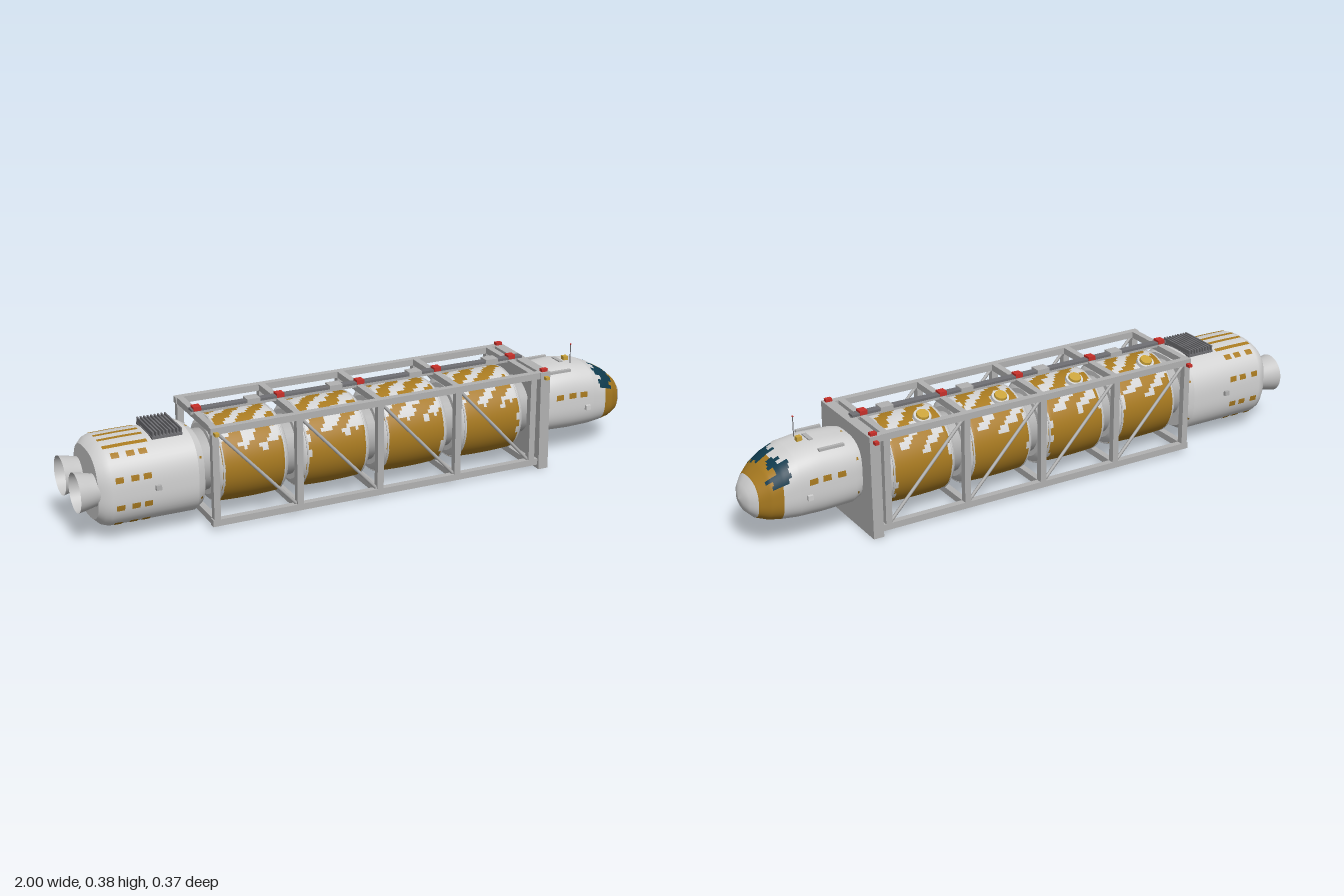
import * as THREE from 'three';

const mat = (name, color) => Object.assign(new THREE.MeshStandardMaterial({ color }), { name });
const M = {
  white: mat('hullWhite', 0xd2d2d2),
  grey: mat('frameGrey', 0xb2b2b2),
  dark: mat('darkGrey', 0x707074),
  gold: mat('gold', 0xa87a20),
  navy: mat('windowNavy', 0x0f3b4e),
  red: mat('signalRed', 0xc8302a),
  yellow: mat('lampYellow', 0xc9a23a),
};
M.nozzle = mat('nozzleWhite', 0xc4c4c4);
M.nozzle.side = THREE.DoubleSide;

const hash = (a, b) => { const v = Math.sin(a * 127.1 + b * 311.7) * 43758.5453; return v - Math.floor(v); };

// Section along x: [x, centreY, radiusY, radiusZ, squareness]
const sectionAt = (st, x) => {
  let i = 0;
  while (i < st.length - 2 && x > st[i + 1][0]) i++;
  const f = (x - st[i][0]) / (st[i + 1][0] - st[i][0] || 1);
  return st[i].map((v, k) => v + (st[i + 1][k] - v) * f);
};

// Skin through sections; t is the angle from the top towards +z; rule picks the colour of each cell
function loft(name, st, { n = 64, t0 = 0, t1 = Math.PI * 2, grow = 0, colours = [M.white], rule = () => 0 } = {}) {
  const closed = t1 - t0 > 6.28, cols = closed ? n : n + 1;
  const pos = [], faces = colours.map(() => []);
  for (const [x, cy, ry, rz, e] of st) {
    for (let j = 0; j < cols; j++) {
      const t = t0 + (t1 - t0) * j / n, c = Math.cos(t), s = Math.sin(t);
      const r = (Math.abs(c) ** e + Math.abs(s) ** e) ** (-1 / e);
      pos.push(x, cy + (ry + grow) * r * c, (rz + grow) * r * s);
    }
  }
  for (let i = 0; i < st.length - 1; i++) {
    for (let j = 0; j < n; j++) {
      const k = closed ? (j + 1) % n : j + 1;
      const a = i * cols + j, b = i * cols + k, c = a + cols, d = b + cols;
      const t = t0 + (t1 - t0) * (j + 0.5) / n;
      faces[rule((st[i][0] + st[i + 1][0]) / 2, t, i, j)].push(a, b, c, b, d, c);
    }
  }
  const g = new THREE.BufferGeometry();
  g.setAttribute('position', new THREE.Float32BufferAttribute(pos, 3));
  g.setIndex(faces.flat());
  let start = 0;
  faces.forEach((f, i) => { g.addGroup(start, f.length, i); start += f.length; });
  g.computeVertexNormals();
  const m = new THREE.Mesh(g, colours);
  m.name = name;
  return m;
}

const range = (a, b, n) => Array.from({ length: n + 1 }, (_, i) => a + (b - a) * i / n);

export function createModel() {
  const root = new THREE.Group();
  root.name = 'cargoSpaceship';
  const group = (name) => { const g = new THREE.Group(); g.name = name; root.add(g); return g; };
  const add = (parent, name, geo, m, x, y, z) => {
    const mesh = new THREE.Mesh(geo, m);
    mesh.name = name;
    mesh.position.set(x, y, z);
    parent.add(mesh);
    return mesh;
  };
  const box = (p, name, m, x, y, z, w, h, d) => add(p, name, new THREE.BoxGeometry(w, h, d), m, x, y, z);
  const strut = (p, name, m, a, b, r) => {
    const A = new THREE.Vector3(...a), d = new THREE.Vector3(...b).sub(A);
    const s = add(p, name, new THREE.CylinderGeometry(r, r, d.length(), 8), m, 0, 0, 0);
    s.position.copy(A).addScaledVector(d, 0.5);
    s.quaternion.setFromUnitVectors(new THREE.Vector3(0, 1, 0), d.normalize());
  };
  // Thin painted plate following a hull
  const patch = (p, name, st, x0, x1, t0, t1, m = M.gold) =>
    p.add(loft(name, range(x0, x1, 2).map(x => sectionAt(st, x)), { n: 6, t0, t1, grow: 0.002, colours: [m] }));

  // Command capsule: x, bottom, top, half width, squareness
  const capsule = group('commandCapsule');
  const nose = [
    [0.62, 0.1, 0.302, 0.108, 2.9], [0.655, 0.084, 0.31, 0.117, 2.9], [0.76, 0.08, 0.315, 0.119, 2.9],
    [0.84, 0.082, 0.305, 0.117, 2.9], [0.89, 0.086, 0.285, 0.11, 2.8], [0.93, 0.092, 0.262, 0.098, 2.7],
    [0.965, 0.103, 0.232, 0.076, 2.5], [0.985, 0.122, 0.207, 0.053, 2.4], [0.995, 0.142, 0.188, 0.028, 2.2],
    [1, 0.165, 0.165, 0, 2],
  ].map(([x, lo, hi, w, e]) => [x, (lo + hi) / 2, (hi - lo) / 2, w, e]);
  const noseX = [0.62, 0.655, 0.7, 0.76, 0.8, ...range(0.84, 0.965, 25), 0.975, 0.985, 0.99, 0.995, 1];
  capsule.add(loft('capsuleHull', noseX.map(x => sectionAt(nose, x)), {
    n: 96, colours: [M.white, M.gold, M.navy],
    rule: (x, t, i, j) => {
      const side = Math.min(t, Math.PI * 2 - t), jag = hash(Math.floor(j / 2), 3);
      if (x > 0.965) return 0;
      const glass = side < 1.15 && side > 0.1;
      if (glass && x > 0.855 + 0.035 * jag && x < 0.905 + 0.035 * hash(Math.floor(j / 2), 8)) return 2;
      return x > (glass ? 0.9 : 0.893) ? 1 : 0;
    },
  }));
  patch(capsule, 'capsuleRing', nose, 0.642, 0.649, 0, Math.PI * 2);
  for (const s of [1, -1]) {
    for (const x of [0.69, 0.74, 0.785]) {
      const t = s * 1.36;
      patch(capsule, 'sideWindow', nose, x, x + 0.028, t - 0.08, t + 0.08);
    }
    box(capsule, 'sideThruster', M.white, 0.815, 0.172, s * 0.121, 0.018, 0.016, 0.014);
    box(capsule, 'roofRail', M.grey, 0.72, 0.303, s * 0.082, 0.085, 0.008, 0.012);
  }
  box(capsule, 'roofHatch', M.grey, 0.76, 0.315, 0, 0.014, 0.006, 0.05);
  box(capsule, 'roofLamp', M.yellow, 0.79, 0.317, 0, 0.018, 0.016, 0.018);
  strut(capsule, 'antenna', M.dark, [0.79, 0.3, 0.035], [0.79, 0.38, 0.035], 0.0016);
  add(capsule, 'antennaTip', new THREE.SphereGeometry(0.003, 8, 6), M.red, 0.79, 0.378, 0.035);

  // Bulkhead plate, slightly narrower at the top
  const plate = new THREE.BoxGeometry(0.036, 0.345, 0.346);
  const pp = plate.attributes.position;
  for (let i = 0; i < pp.count; i++) if (pp.getY(i) > 0) pp.setZ(i, pp.getZ(i) * 0.966);
  add(root, 'bulkhead', plate, M.grey, 0.612, 0.1725, 0);

  // Open truss
  const truss = group('truss');
  const stations = [-0.57, -0.285, 0, 0.285, 0.57], B = 0.022, Z = 0.153, lowY = 0.025, highY = 0.334;
  for (const z of [-Z, Z]) {
    for (const y of [lowY, highY]) box(truss, 'longRail', M.grey, 0.005, y, z, 1.18, B, B);
    for (const x of stations) box(truss, 'post', M.grey, x, 0.18, z, B, 0.31, B);
    for (let i = 0; i < 4; i++) {
      strut(truss, 'diagonalBrace', M.grey, [stations[i], highY, z], [stations[i + 1], lowY, z], 0.0055);
    }
  }
  for (const x of stations) {
    for (const y of [lowY, highY]) box(truss, 'crossBeam', M.grey, x, y, 0, B, B, 2 * Z);
    box(truss, 'railClamp', M.red, x, 0.357, 0, 0.026, 0.014, 0.028);
  }
  box(truss, 'spineWeb', M.grey, 0.01, 0.344, 0, 1.2, 0.012, 0.012);
  box(truss, 'spineRail', M.dark, 0.01, 0.353, 0, 1.2, 0.008, 0.026);
  for (const x of [-0.38, -0.09, 0.2, 0.49]) box(truss, 'spineBox', M.grey, x, 0.357, 0, 0.045, 0.012, 0.038);

  // Marker lights
  for (const s of [1, -1]) {
    box(truss, 'topLight', M.red, 0.612, 0.349, s * 0.153, 0.022, 0.012, 0.016);
    for (const x of [-0.57, 0.612]) {
      box(truss, 'sideLight', s > 0 ? M.yellow : M.red, x, 0.327, s * 0.174, 0.014, 0.01, 0.018);
    }
  }

  // Painted cargo tanks
  const R = 0.145, tankY = 0.182;
  const profile = [[-0.125, 0], [-0.125, 0.116], [-0.125, 0.116], [-0.118, 0.13], [-0.108, 0.138],
    ...range(-0.1, 0.1, 20).map(x => [x, R - 0.3 * x * x]),
    [0.108, 0.138], [0.118, 0.13], [0.125, 0.116], [0.125, 0.116], [0.125, 0]];
  [-0.43, -0.143, 0.143, 0.43].forEach((cx, k) => {
    const g = group('cargoTank');
    const tank = loft('tankShell', profile.map(([x, r]) => [x, tankY, r, r, 2]), {
      n: 72, colours: [M.white, M.gold],
      rule: (x, t, i, j) => {
        const a = t > Math.PI ? t - 2 * Math.PI : t, ci = Math.floor(i / 2), cj = Math.floor(j / 2);
        if (Math.abs(x) > 0.094 + 0.016 * hash(cj + k * 9, x > 0 ? 1 : 2)) return 0;
        const s = (x + R * a + 0.02 * hash(ci + k * 5, cj)) / 0.1;
        return Math.abs(a) < 1.0 + 0.25 * hash(cj, ci + 7) && s - Math.floor(s) < 0.42 ? 0 : 1;
      },
    });
    tank.position.x = cx;
    g.add(tank);
    for (const e of [-1, 1]) {
      const band = add(g, 'tankBand', new THREE.TorusGeometry(0.1405, 0.003, 6, 48), M.white, cx + e * 0.104, tankY, 0);
      band.rotation.y = Math.PI / 2;
    }
    // Filler hatch
    const hatch = new THREE.Group();
    hatch.name = 'fillerHatch';
    hatch.position.set(cx - 0.042, tankY, 0);
    hatch.rotation.x = -0.4;
    add(hatch, 'hatchCollar', new THREE.CylinderGeometry(0.029, 0.032, 0.02, 24), M.white, 0, 0.145, 0);
    add(hatch, 'hatchLid', new THREE.CylinderGeometry(0.02, 0.022, 0.01, 24), M.yellow, 0, 0.158, 0);
    g.add(hatch);
  });
  const core = add(root, 'coreTube', new THREE.CylinderGeometry(0.1, 0.1, 1.2, 32), M.grey, 0, tankY, 0);
  core.rotation.z = Math.PI / 2;

  // Engine module
  const engine = group('engineModule');
  const cy = 0.174;
  const hull = [[-0.94, 0, 0], [-0.94, 0.112, 0.122], [-0.94, 0.112, 0.122], [-0.92, 0.13, 0.14], [-0.9, 0.137, 0.146],
    [-0.62, 0.137, 0.146], [-0.62, 0.137, 0.146], [-0.595, 0.122, 0.13], [-0.595, 0.122, 0.13], [-0.595, 0, 0]]
    .map(([x, a, b]) => [x, cy, a, b, 2.7]);
  engine.add(loft('engineHull', hull));
  patch(engine, 'engineRing', hull, -0.612, -0.604, 0, Math.PI * 2);
  for (const s of [1, -1]) {
    for (const x of [-0.89, -0.84, -0.8]) {
      for (const t of [0.72, 1.25, 1.9, 2.4]) patch(engine, 'goldPanel', hull, x, x + 0.026, s * t - 0.065, s * t + 0.065);
    }
    for (const t of [0.14, 0.46]) patch(engine, 'roofStripe', hull, -0.905, -0.76, s * t - 0.05, s * t + 0.05);
    box(engine, 'sideSensor', M.grey, -0.755, 0.176, s * 0.149, 0.018, 0.016, 0.014);

    // Open nozzle bell
    const bell = [[0.05, 0], [0.052, 0.02], [0.058, 0.045], [0.064, 0.075]].map(([r, y]) => new THREE.Vector2(r, y));
    const noz = add(engine, 'nozzle', new THREE.LatheGeometry(bell, 40), M.nozzle, -0.925, 0.175, s * 0.077);
    noz.rotation.z = Math.PI / 2;
    const throat = add(engine, 'nozzleThroat', new THREE.CylinderGeometry(0.05, 0.05, 0.006, 32), M.dark, -0.942, 0.175, s * 0.077);
    throat.rotation.z = Math.PI / 2;
  }
  // Radiator fins
  box(engine, 'radiatorBase', M.dark, -0.694, 0.309, 0, 0.1, 0.008, 0.15);
  for (const x of range(-0.74, -0.648, 8)) box(engine, 'radiatorFin', M.dark, x, 0.319, 0, 0.005, 0.02, 0.15);

  return root;
}
